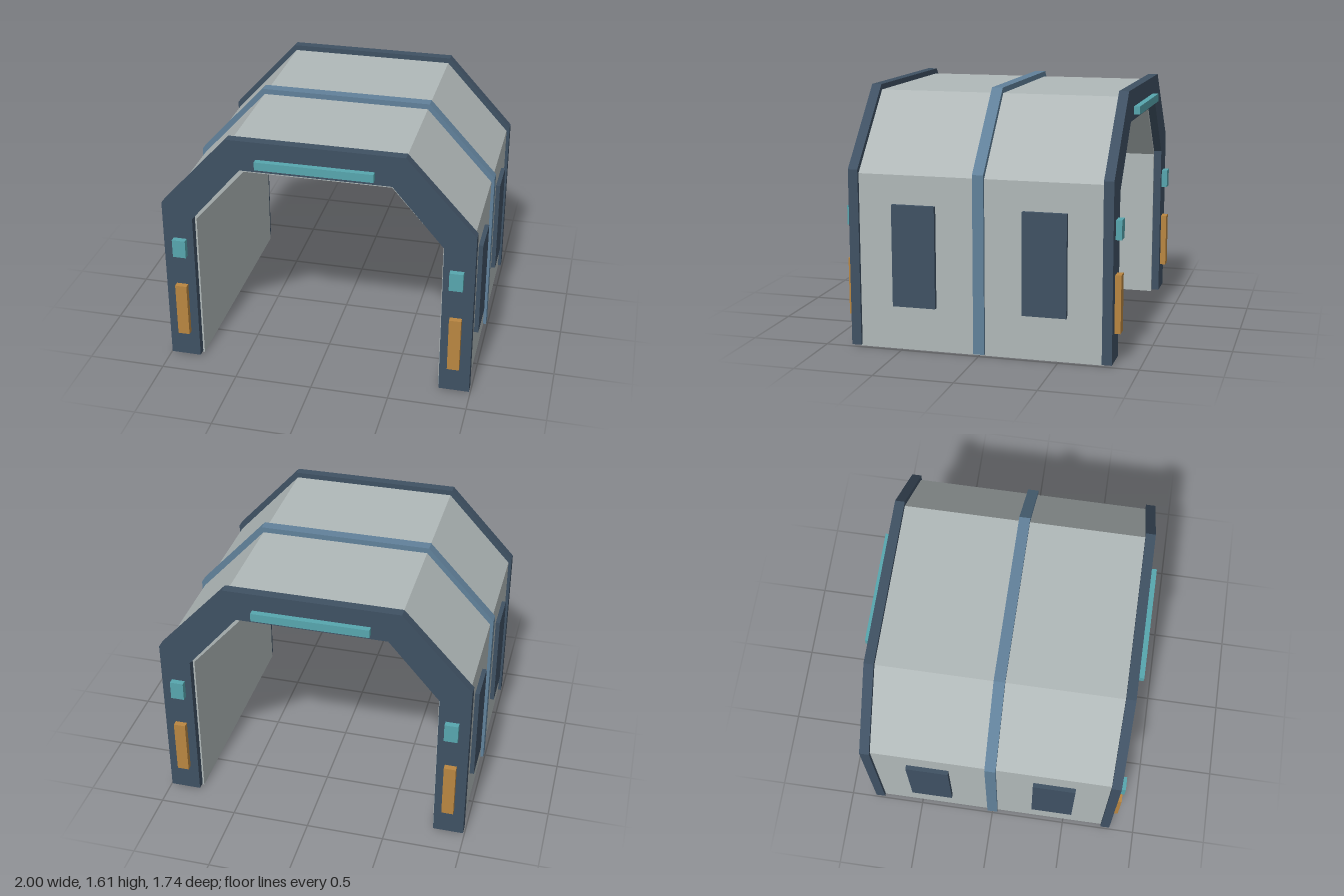
import * as THREE from 'three';

const mat = (name, color) => {
  const m = new THREE.MeshStandardMaterial({ color });
  m.name = name;
  return m;
};

// Half profile of an arch: wall foot, shoulder, roof corner; mirrored to the other side
const halfArch = ({ x, foot, knee, roofX, roofY }) => [[x, foot], [x, knee], [roofX, roofY]];

function archGeometry(outer, inner, z0, z1) {
  const o = halfArch(outer), i = halfArch(inner);
  const mirror = (pts) => pts.map(([x, y]) => [-x, y]).reverse();
  const loop = [...o, ...mirror(o), ...mirror(i).reverse(), ...[...i].reverse()];
  const shape = new THREE.Shape(loop.map(([x, y]) => new THREE.Vector2(x, y)));
  const geo = new THREE.ExtrudeGeometry(shape, { depth: z1 - z0, bevelEnabled: false });
  return geo.translate(0, 0, z0);
}

export function createModel() {
  const group = new THREE.Group();
  group.name = 'archedTunnel';

  const grey = mat('panelGrey', 0xb0b8b8);
  const navy = mat('frameNavy', 0x3f5163);
  const steel = mat('ribSteelBlue', 0x61819a);
  const teal = mat('lightTeal', 0x57a6ae);
  const amber = mat('lightAmber', 0xb98641);

  const add = (name, geo, material) => {
    const mesh = new THREE.Mesh(geo, material);
    mesh.name = name;
    group.add(mesh);
  };
  const box = (name, material, x0, x1, y0, y1, z0, z1) => {
    const geo = new THREE.BoxGeometry(x1 - x0, y1 - y0, Math.abs(z1 - z0));
    geo.translate((x0 + x1) / 2, (y0 + y1) / 2, (z0 + z1) / 2);
    add(name, geo, material);
  };

  // Thick shell of walls and roof
  const shellOuter = { x: 0.972, foot: 0, knee: 1.105, roofX: 0.541, roofY: 1.575 };
  const shellInner = { x: 0.785, foot: 0, knee: 1.012, roofX: 0.462, roofY: 1.38 };
  add('shell', archGeometry(shellOuter, shellInner, -0.78, 0.78), grey);

  // End frames and middle rib stand slightly proud of the shell
  const frameOuter = { x: 0.992, foot: 0.01, knee: 1.13, roofX: 0.552, roofY: 1.61 };
  const frameInner = { x: 0.796, foot: 0.01, knee: 1.035, roofX: 0.473, roofY: 1.413 };
  add('frontFrame', archGeometry(frameOuter, frameInner, 0.77, 0.832), navy);
  add('backFrame', archGeometry(frameOuter, frameInner, -0.832, -0.77), navy);
  add('middleRib', archGeometry(frameOuter, frameInner, -0.035, 0.035), steel);

  for (const [end, dz] of [['front', 1], ['back', -1]]) {
    // Lights on both ends
    const z0 = 0.825 * dz, z1 = 0.87 * dz;
    box(end + 'RoofLight', teal, -0.367, 0.367, 1.445, 1.497, z0, z1);
    for (const [side, dx] of [['Left', 1], ['Right', -1]]) {
      const span = (a, b) => (dx > 0 ? [a, b] : [-b, -a]);
      box(end + side + 'SmallLight', teal, ...span(0.84, 0.926), 0.767, 0.888, z0, z1);
      box(end + side + 'TallLight', amber, ...span(0.85, 0.926), 0.19, 0.552, z0, z1);
      // Raised wall panels
      box(end + side + 'WallPanel', navy, ...span(0.95, 1), 0.28, 0.922, 0.276 * dz, 0.552 * dz);
    }
  }
  return group;
}
